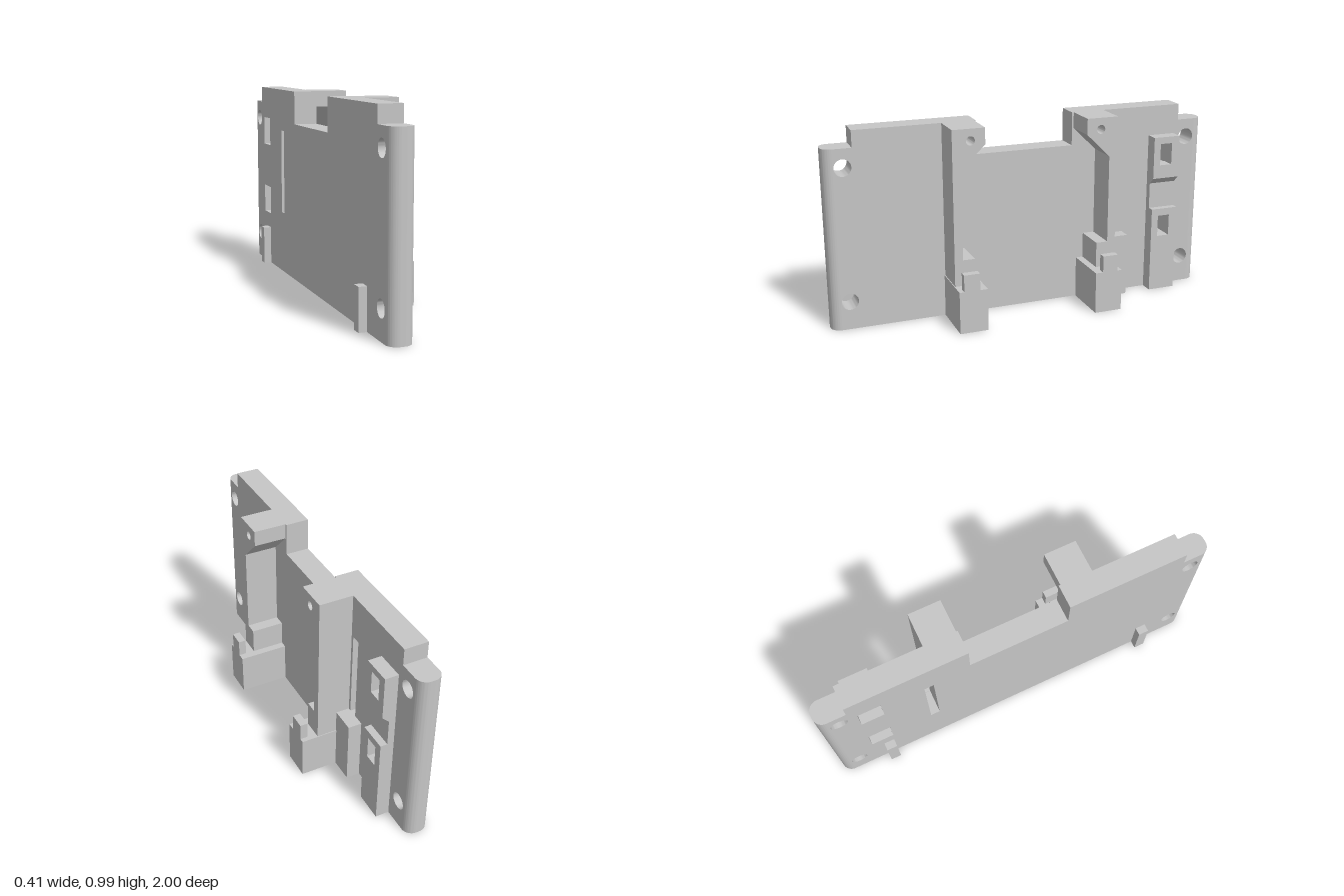
import * as THREE from 'three';
import { toCreasedNormals } from 'three/addons/utils/BufferGeometryUtils.js';

const BACK = -0.165, FACE = -0.046, RAISED = 0.022, ARM = 0.122, OUT = 0.205;

export function createModel() {
  const model = new THREE.Group();
  model.name = 'mountingBracket';
  const grey = new THREE.MeshStandardMaterial({ color: 0xc6c6c6 });
  grey.name = 'plainGrey';

  const add = (name, geometry, parent = model) => {
    const mesh = new THREE.Mesh(toCreasedNormals(geometry, 0.6), grey);
    mesh.name = name;
    parent.add(mesh);
  };
  const toShape = (pts) => new THREE.Shape(pts.map(([a, b]) => new THREE.Vector2(a, b)));
  const rect = (z0, z1, y0, y1) => [[z0, y0], [z1, y0], [z1, y1], [z0, y1]];
  const box = (x0, x1, y0, y1, z0, z1) =>
    new THREE.BoxGeometry(x1 - x0, y1 - y0, Math.abs(z1 - z0))
      .translate((x0 + x1) / 2, (y0 + y1) / 2, (z0 + z1) / 2);

  // Extrudes a (z, y) outline along x, with rectangular and round holes
  const slab = (pts, x0, x1, windows = [], rounds = []) => {
    const flip = (list) => list.map(([z, y]) => [-z, y]);
    const shape = toShape(flip(pts));
    // Holes run counter-clockwise so that their walls face inward
    windows.forEach((w) => shape.holes.push(toShape(flip(rect(...w)).reverse())));
    rounds.forEach(([z, y, r]) =>
      shape.holes.push(new THREE.Path().absarc(-z, y, r, 0, Math.PI * 2, false)));
    return new THREE.ExtrudeGeometry(shape, { depth: x1 - x0, bevelEnabled: false, curveSegments: 16 })
      .rotateY(Math.PI / 2).translate(x0, 0, 0);
  };

  // Main plate with stepped corners, top notch, screw holes, slot and windows
  const outline = [
    [-0.95, 0], [0.95, 0], [0.95, 0.905], [0.857, 0.905], [0.857, 0.988], [0.253, 0.988],
    [0.253, 0.82], [-0.253, 0.82], [-0.253, 0.988], [-0.857, 0.988], [-0.857, 0.905], [-0.95, 0.905],
  ];
  const screws = [];
  for (const z of [-0.905, 0.905]) for (const y of [0.143, 0.812]) screws.push([z, y, 0.042]);
  add('plate', slab(outline, BACK, FACE, [
    [-0.487, -0.44, 0.325, 0.77],
    [-0.815, -0.7, 0.67, 0.82],
    [-0.815, -0.7, 0.283, 0.433],
  ], screws));

  // Rounded plate ends
  const r = 0.05;
  const endShape = new THREE.Shape();
  endShape.moveTo(BACK, 0);
  endShape.lineTo(FACE, 0);
  endShape.absarc(FACE - r, 0, r, 0, Math.PI / 2, false);
  endShape.absarc(BACK + r, 0, r, Math.PI / 2, Math.PI, false);
  for (const side of [1, -1]) {
    const end = new THREE.ExtrudeGeometry(endShape, { depth: 0.905, bevelEnabled: false, curveSegments: 12 })
      .rotateX(Math.PI / 2).translate(0, 0.905, 0.95);
    // The end is symmetric in x about the plate's middle, so turn it for the far side
    if (side < 0) end.rotateY(Math.PI).translate(BACK + FACE, 0, 0);
    add('roundedEnd', end);
  }

  // Pair of mirrored holder arms
  for (const s of [1, -1]) {
    const arm = new THREE.Group();
    arm.name = s > 0 ? 'frontArm' : 'rearArm';
    model.add(arm);
    // Wall with a hooked head above and a shelf below
    const wall = [
      [0.425, 0], [0.425, 0.988], [0.262, 0.988], [0.262, 0.908],
      [0.383, 0.79], [0.383, 0.345], [0.323, 0.345], [0.323, 0],
    ].map(([z, y]) => [s * z, y]);
    add('hookedWall', slab(wall, FACE, ARM, [], [[s * 0.335, 0.93, 0.022]]), arm);
    add('foot', box(FACE, OUT, 0, 0.214, s * 0.286, s * 0.429), arm);
    add('footTab', box(0.167, OUT, 0.214, 0.299, s * 0.325, s * 0.405), arm);
  }

  // Small block below the slot
  add('slotBlock', box(FACE, RAISED, 0, 0.328, -0.547, -0.425));

  // Raised strip with two windows and an undercut notch between them
  const strip = new THREE.Group();
  strip.name = 'windowStrip';
  model.add(strip);
  add('lowerStrip', slab(rect(-0.832, -0.688, 0, 0.45), FACE, RAISED, [[-0.79, -0.725, 0.3, 0.412]]), strip);
  add('upperStrip', slab(rect(-0.832, -0.688, 0.617, 0.835), FACE, RAISED, [[-0.79, -0.725, 0.687, 0.8]]), strip);
  const notch = toShape([[FACE, 0.45], [-0.013, 0.45], [-0.013, 0.584], [RAISED, 0.617], [FACE, 0.617]]);
  add('stripNotch', new THREE.ExtrudeGeometry(notch, { depth: 0.144, bevelEnabled: false })
    .translate(0, 0, -0.832), strip);

  // Locating pegs on the back
  for (const z of [-0.732, 0.727]) add('backPeg', box(-OUT, BACK, 0, 0.203, z - 0.027, z + 0.027));

  return model;
}
